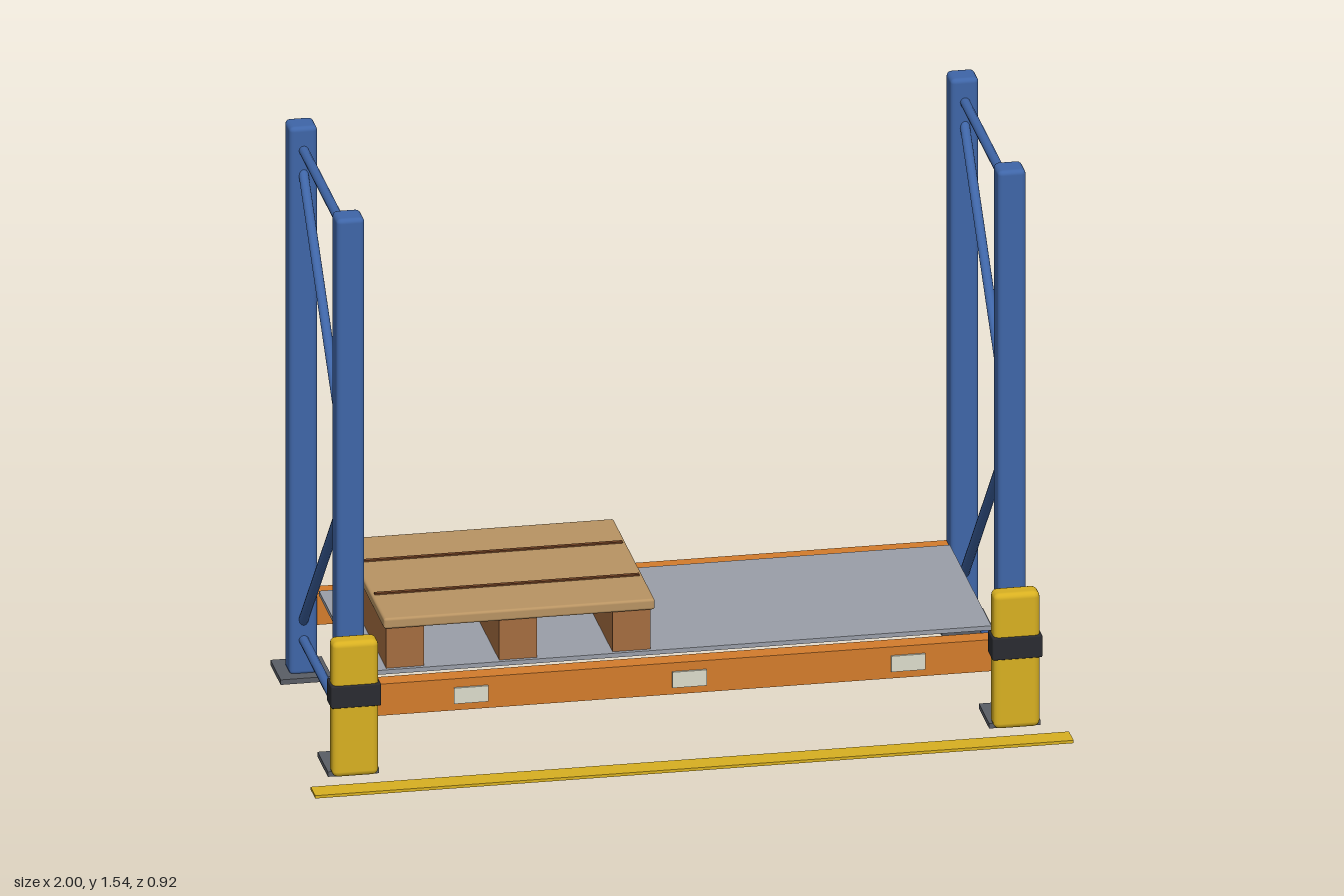
import * as THREE from 'three';
import { RoundedBoxGeometry } from 'three/addons/geometries/RoundedBoxGeometry.js';

const paint = (color) => new THREE.MeshStandardMaterial({ color });

export function createModel() {
  const model = new THREE.Group();
  const blue = paint(0x3f66a8), orange = paint(0xd47c2c), yellow = paint(0xd8b021);
  const black = paint(0x2a2b30), steel = paint(0x5a5e66), deckGrey = paint(0x9a9fa9);
  const wood = paint(0xb99463), darkWood = paint(0xa56d40), gapBrown = paint(0x6e3f22);
  const white = paint(0xdcdccb);

  // Box given by its [min, max] on each axis, optionally with rounded edges
  function block(name, x, y, z, material, radius = 0) {
    const size = [x, y, z].map(([a, b]) => b - a);
    const geometry = radius
      ? new RoundedBoxGeometry(...size, 2, radius)
      : new THREE.BoxGeometry(...size);
    const mesh = new THREE.Mesh(geometry, material);
    mesh.position.set((x[0] + x[1]) / 2, (y[0] + y[1]) / 2, (z[0] + z[1]) / 2);
    mesh.name = name;
    model.add(mesh);
  }
  const around = (c, width) => [c - width / 2, c + width / 2];

  // Round bar in a side frame between two (z, y) points
  function brace(name, x, [z1, y1], [z2, y2]) {
    const a = new THREE.Vector3(x, y1, z1), b = new THREE.Vector3(x, y2, z2);
    const dir = b.clone().sub(a);
    const mesh = new THREE.Mesh(new THREE.CylinderGeometry(0.013, 0.013, dir.length(), 12), blue);
    mesh.position.copy(a).add(b).multiplyScalar(0.5);
    mesh.quaternion.setFromUnitVectors(new THREE.Vector3(0, 1, 0), dir.normalize());
    mesh.name = name;
    model.add(mesh);
  }

  const frontZ = 0.252, backZ = -0.391;
  for (const side of [-1, 1]) {
    const x = side * 0.872;

    // Side frame: two uprights on foot plates
    for (const z of [frontZ, backZ]) {
      block('footPlate', around(x, 0.135), [0, 0.014], around(z, 0.14), steel);
      block('upright', around(x, 0.074), [0.008, 1.54], around(z, 0.074), blue, 0.013);
    }

    // Horizontal and diagonal braces
    brace('topBrace', x, [0.235, 1.475], [-0.37, 1.475]);
    brace('bottomBrace', x, [0.235, 0.107], [-0.37, 0.107]);
    brace('upperDiagonal', x, [0.23, 0.82], [-0.37, 1.42]);
    brace('lowerDiagonal', x, [0.23, 0.755], [-0.37, 0.15]);

    // Front column guard with a dark band
    block('columnGuard', around(x, 0.122), [0.008, 0.386], [0.299, 0.357], yellow, 0.016);
    block('guardBand', around(x, 0.132), [0.204, 0.266], [0.295, 0.361], black, 0.004);
  }

  // Load beams
  for (const z of [0.248, -0.395])
    block('loadBeam', [-0.84, 0.84], [0.14, 0.228], around(z, 0.05), orange);

  // Beam labels
  for (const x of [-0.553, 0.023, 0.6])
    block('beamLabel', around(x, 0.09), [0.16, 0.204], [0.27, 0.279], white);

  // Shelf deck
  block('deck', [-0.832, 0.832], [0.229, 0.241], [-0.355, 0.211], deckGrey);

  // Pallet: three stringers, top board and dark board gaps
  for (const x of [-0.712, -0.414, -0.115])
    block('palletStringer', around(x, 0.1), [0.24, 0.356], [-0.342, 0.2], darkWood);
  block('palletTop', [-0.77, -0.055], [0.354, 0.384], [-0.355, 0.211], wood, 0.007);
  for (const z of [-0.188, 0.04])
    block('boardGap', [-0.762, -0.064], [0.376, 0.388], around(z, 0.012), gapBrown);

  // Floor marking strip
  block('floorStrip', [-1, 1], [0, 0.008], [0.4, 0.462], yellow);

  return model;
}
